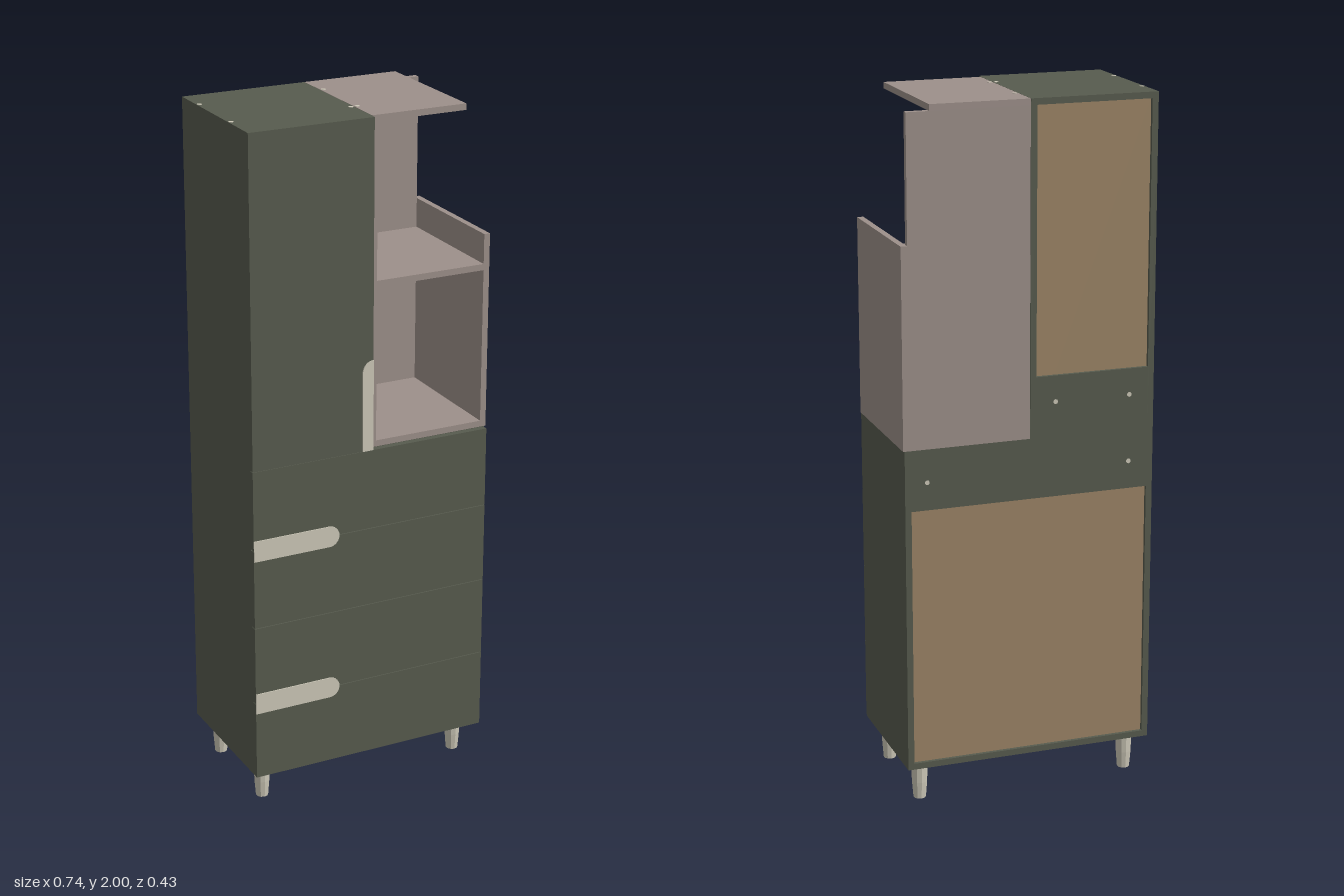
import * as THREE from 'three';

export function createModel() {
  const model = new THREE.Group();
  model.name = 'storageCabinet';

  const paint = (name, color) => {
    const m = new THREE.MeshStandardMaterial({ color });
    m.name = name;
    return m;
  };
  const green = paint('olive green', 0x575b4e);
  const taupe = paint('taupe', 0x9d908a);
  const cream = paint('cream', 0xcdc8b8);
  const tan = paint('tan backing', 0x9c8466);

  const add = (name, geometry, material, parent = model) => {
    const mesh = new THREE.Mesh(geometry, material);
    mesh.name = name;
    parent.add(mesh);
    return mesh;
  };
  // box given by its lower and upper limits on each axis
  const box = (name, material, [x0, x1], [y0, y1], [z0, z1], parent) => {
    const mesh = add(name, new THREE.BoxGeometry(x1 - x0, y1 - y0, z1 - z0), material, parent);
    mesh.position.set((x0 + x1) / 2, (y0 + y1) / 2, (z0 + z1) / 2);
    return mesh;
  };

  const T = 0.018;                 // board thickness
  const BACK = -0.215, BODY = 0.195, FRONT = 0.213;
  const L = -0.368, R = 0.364, MID = 1.055;

  // carcass: boards around a recessed backing with a rail across the back
  function carcass(name, x0, x1, y0, y1, railBottom, railTop) {
    const g = new THREE.Group();
    g.name = name;
    model.add(g);
    const depth = [BACK, BODY], inner = [x0 + T, x1 - T];
    box('bottomBoard', green, [x0, x1], [y0, y0 + T], depth, g);
    box('topBoard', green, inner, [y1 - T, y1], depth, g);
    box('sideBoard', green, [x0, x0 + T], [y0 + T, y1], depth, g);
    box('sideBoard', green, [x1 - T, x1], [y0 + T, y1], depth, g);
    box('backRail', green, inner, [railBottom, railTop], [BACK, BACK + T], g);
    box('backing', tan, inner, [y0 + T, y1 - T], [BACK + 0.01, BACK + 0.015], g);
  }
  carcass('drawerCabinet', L, R, 0.11, MID, 0.88, MID - T);
  carcass('tallCabinet', L, 0, MID, 2, MID + T, 1.23);

  // drawer fronts and door, with fine gaps between them
  const GAP = 0.001;
  const levels = [0.11, 0.346, 0.582, 0.818, MID];
  for (let i = 0; i < 4; i++) {
    box('drawerFront', green, [L, 0.361], [levels[i] + (i ? GAP : 0), levels[i + 1] - GAP], [BODY, FRONT]);
  }
  box('door', green, [L, -0.001], [MID, 2], [BODY, FRONT]);

  // drawer pulls: plates with a rounded right end
  const pull = new THREE.Shape();
  pull.moveTo(L, -0.031);
  pull.lineTo(-0.137, -0.031);
  pull.absarc(-0.137, 0, 0.031, -Math.PI / 2, Math.PI / 2, false);
  pull.lineTo(L, 0.031);
  const plate = { depth: 0.003, bevelEnabled: false, curveSegments: 12 };
  for (const y of [levels[1], levels[3]]) {
    add('drawerPull', new THREE.ExtrudeGeometry(pull, plate), cream).position.set(0, y, FRONT);
  }

  // door pull: upright plate with one rounded upper corner
  const doorPull = new THREE.Shape();
  doorPull.moveTo(-0.034, MID);
  doorPull.lineTo(-0.001, MID);
  doorPull.lineTo(-0.001, 1.32);
  doorPull.absarc(-0.001, 1.287, 0.033, Math.PI / 2, Math.PI, false);
  add('doorPull', new THREE.ExtrudeGeometry(doorPull, plate), cream).position.z = FRONT;

  // open shelf unit
  const shelf = new THREE.Group();
  shelf.name = 'openShelf';
  model.add(shelf);
  const IN = BACK + T;
  box('shelfBack', taupe, [0.001, 0.35], [MID, 1.982], [BACK, IN], shelf);
  box('shelfLeftSide', taupe, [0.001, T], [MID, 1.982], [IN, BODY], shelf);
  box('shelfRightSide', taupe, [0.35, 0.368], [MID, 1.625], [BACK, BODY], shelf);
  box('shelfTop', taupe, [0.001, 0.285], [1.982, 2], [BACK, BODY], shelf);
  box('middleShelf', taupe, [T, 0.35], [1.521, 1.539], [IN, BODY], shelf);
  box('shelfBottom', taupe, [T, 0.35], [MID, MID + T], [IN, BODY], shelf);

  // tapered legs on round mounting plates
  const legProfile = [[0, 0], [0.018, 0], [0.022, 0.05], [0.023, 0.1], [0.039, 0.103], [0.039, 0.11], [0, 0.11]]
    .map(([r, y]) => new THREE.Vector2(r, y));
  const legShape = new THREE.LatheGeometry(legProfile, 10).toNonIndexed();
  legShape.computeVertexNormals();
  for (const x of [-0.315, 0.315]) {
    for (const z of [-0.162, 0.13]) add('leg', legShape, cream).position.set(x, 0, z);
  }

  // small screw caps on the top boards and back rails
  const cap = new THREE.CylinderGeometry(0.007, 0.007, 0.002, 10);
  for (const [x, z] of [[-0.36, -0.115], [-0.36, 0.09], [0.01, -0.115], [0.01, 0.09], [-0.009, 0.09]]) {
    add('topScrewCap', cap, cream).position.set(x, 2, z);
  }
  for (const [x, y] of [[-0.295, 0.96], [0.3, 0.96], [-0.295, 1.155], [-0.075, 1.155]]) {
    const screw = add('backScrewCap', cap, cream);
    screw.rotation.x = Math.PI / 2;
    screw.position.set(x, y, BACK);
  }

  return model;
}
